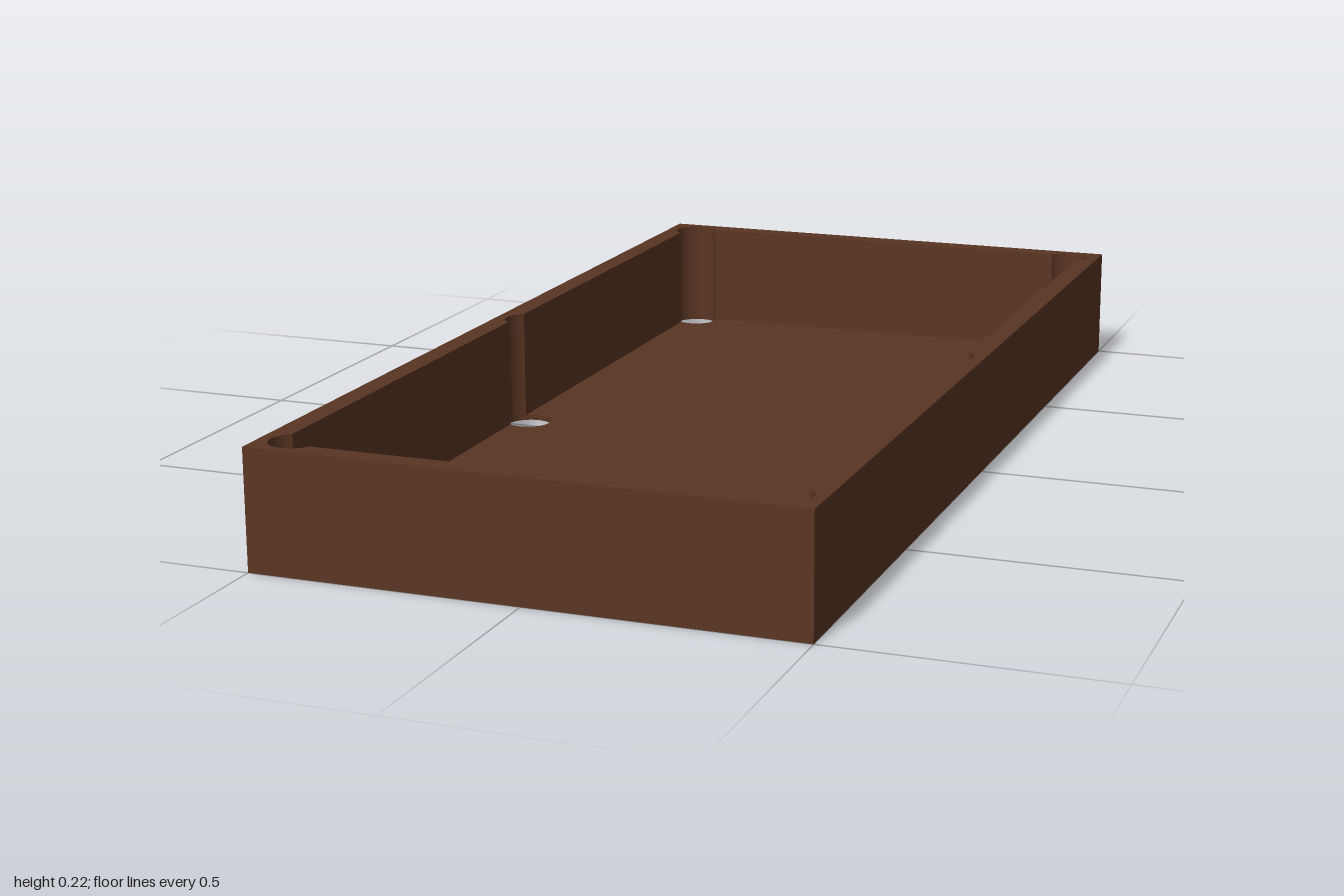
import * as THREE from 'three';

const W = 0.5, L = 1, H = 0.22, FLOOR = 0.01;   // half width, half length, height, floor thickness
const IX = 0.46, IZ = 0.96;                     // inner wall faces
const HX = 0.436, HZ = 0.94, R = 0.044;         // pocket hole centres and radius

function outline() {
  return new THREE.Shape([
    new THREE.Vector2(-W, -L), new THREE.Vector2(W, -L),
    new THREE.Vector2(W, L), new THREE.Vector2(-W, L),
  ]);
}

// extrude a plan shape upward from height y
function slab(name, shape, y, height, material) {
  const geo = new THREE.ExtrudeGeometry(shape, { depth: height, bevelEnabled: false, curveSegments: 32 });
  geo.rotateX(-Math.PI / 2);
  geo.translate(0, y, 0);
  const mesh = new THREE.Mesh(geo, material);
  mesh.name = name;
  return mesh;
}

export function createModel() {
  const group = new THREE.Group();
  group.name = 'tableTray';
  const wood = new THREE.MeshStandardMaterial({ color: 0x5a3523 });
  wood.name = 'dark brown wood';

  // floor with six round through holes
  const floor = outline();
  for (const x of [-HX, HX]) {
    for (const z of [-HZ, 0, HZ]) {
      floor.holes.push(new THREE.Path().absarc(x, z, R, 0, Math.PI * 2, true));
    }
  }
  group.add(slab('floor', floor, 0, FLOOR, wood));

  // walls, with the inner faces scalloped around the holes
  const a = Math.acos((IX - HX) / R);
  const b = Math.asin((IZ - HZ) / R);
  const PI = Math.PI;
  const scallops = [
    [HX, 0, -a, a],
    [HX, HZ, -a, PI - b],
    [-HX, HZ, b, PI + a],
    [-HX, 0, PI - a, PI + a],
    [-HX, -HZ, PI - a, 2 * PI - b],
    [HX, -HZ, PI + b, 2 * PI + a],
  ];
  const inner = new THREE.Path();
  for (const [x, z, from, to] of scallops) inner.absarc(x, z, R, from, to, false);
  inner.closePath();
  const walls = outline();
  walls.holes.push(inner);
  group.add(slab('walls', walls, FLOOR, H - FLOOR, wood));

  return group;
}
